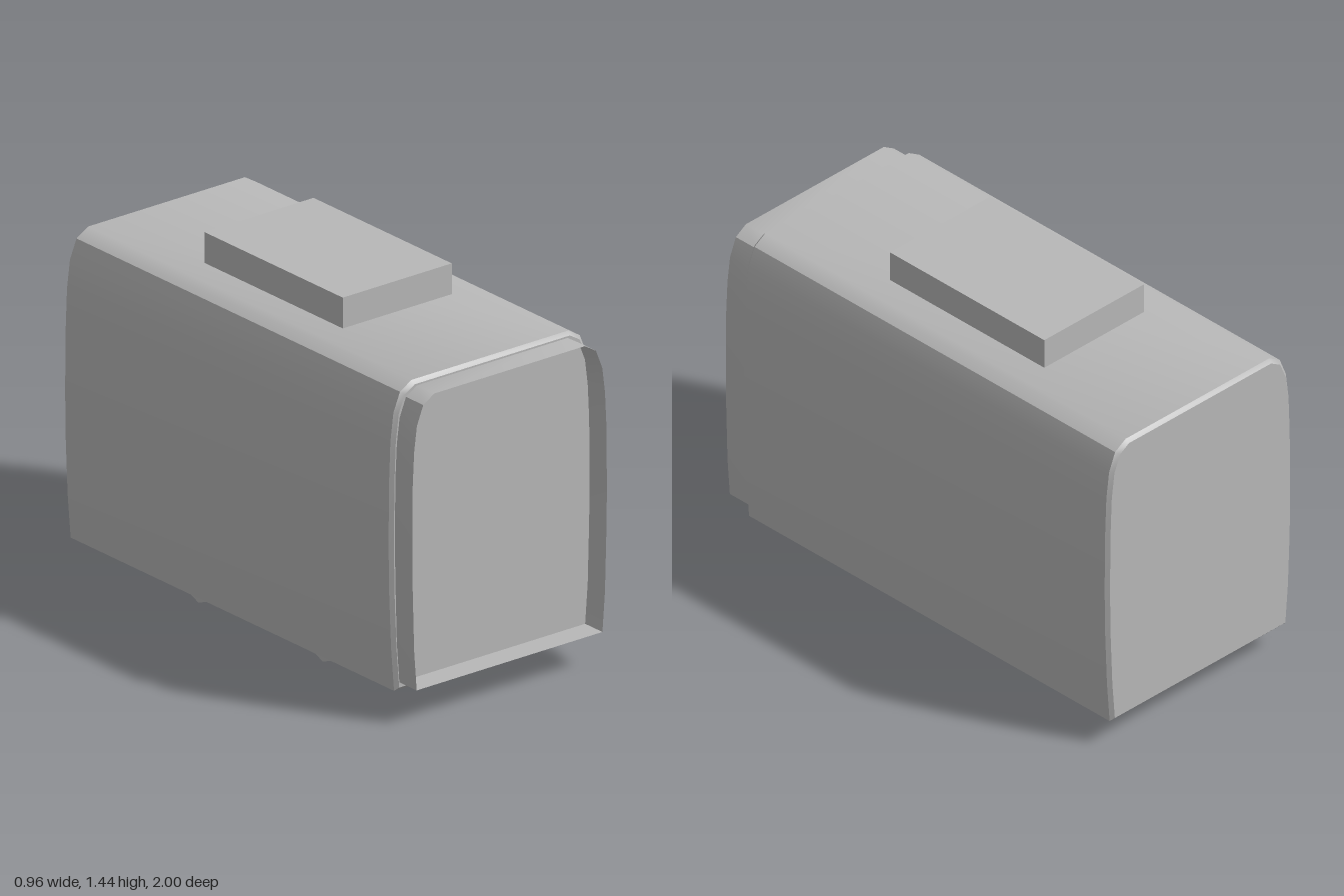
import * as THREE from 'three';
import { toCreasedNormals } from 'three/addons/utils/BufferGeometryUtils.js';

// Right half of a cross-section, bottom to top, mirrored into a closed outline
function outline(half) {
  const right = half.map(([x, y]) => new THREE.Vector2(x, y));
  const left = half.map(([x, y]) => new THREE.Vector2(-x, y)).reverse();
  return [...right, ...left];
}

// Open band swept along z from a closed outline
function band(points, z0, z1) {
  const pos = [];
  points.forEach((a, i) => {
    const b = points[(i + 1) % points.length];
    pos.push(a.x, a.y, z0, b.x, b.y, z0, b.x, b.y, z1);
    pos.push(a.x, a.y, z0, b.x, b.y, z1, a.x, a.y, z1);
  });
  const geo = new THREE.BufferGeometry();
  geo.setAttribute('position', new THREE.Float32BufferAttribute(pos, 3));
  return toCreasedNormals(geo, 0.6);
}

export function createModel() {
  const model = new THREE.Group();
  model.name = 'carriage';
  const grey = new THREE.MeshStandardMaterial({ color: 0xb8b8b8, side: THREE.DoubleSide });
  grey.name = 'grey';

  const add = (name, geometry, x = 0, y = 0, z = 0) => {
    const mesh = new THREE.Mesh(geometry, grey);
    mesh.name = name;
    mesh.position.set(x, y, z);
    model.add(mesh);
    return mesh;
  };

  // Body shell with bulging sides, rounded roof edges and chamfered ends
  const bodyHalf = [
    [0.452, 0.107], [0.466, 0.28], [0.475, 0.5], [0.478, 0.7], [0.475, 0.95],
    [0.469, 1.1], [0.455, 1.21], [0.424, 1.285], [0.37, 1.318],
  ];
  const bevel = 0.014;
  const body = new THREE.ExtrudeGeometry(new THREE.Shape(outline(bodyHalf)), {
    depth: 1.9 - 2 * bevel, bevelEnabled: true, bevelSegments: 1,
    bevelThickness: bevel, bevelSize: bevel, bevelOffset: -bevel,
  });
  add('body', toCreasedNormals(body, 0.6), 0, 0, -1 + bevel);

  // Open gangway sleeve at the front
  const sleeveHalf = [
    [0.438, 0.142], [0.45, 0.3], [0.457, 0.55], [0.459, 0.7], [0.457, 0.95],
    [0.45, 1.09], [0.437, 1.19], [0.407, 1.265], [0.355, 1.297],
  ];
  add('gangwaySleeve', band(outline(sleeveHalf), 0.895, 1));

  // Roof unit
  add('roofUnit', new THREE.BoxGeometry(0.514, 0.13, 0.8), 0, 1.375, -0.05);

  // Wheels half sunk into the floor, with a thin frame strip on each side
  const wheel = new THREE.CylinderGeometry(0.115, 0.115, 0.038, 8).rotateZ(Math.PI / 2);
  for (const side of [1, -1]) {
    add('wheelFrame', new THREE.BoxGeometry(0.08, 0.01, 0.84), side * 0.32, 0.108, -0.05);
    for (const z of [0.31, -0.41]) add('wheel', wheel, side * 0.299, 0.115, z);
  }

  return model;
}
